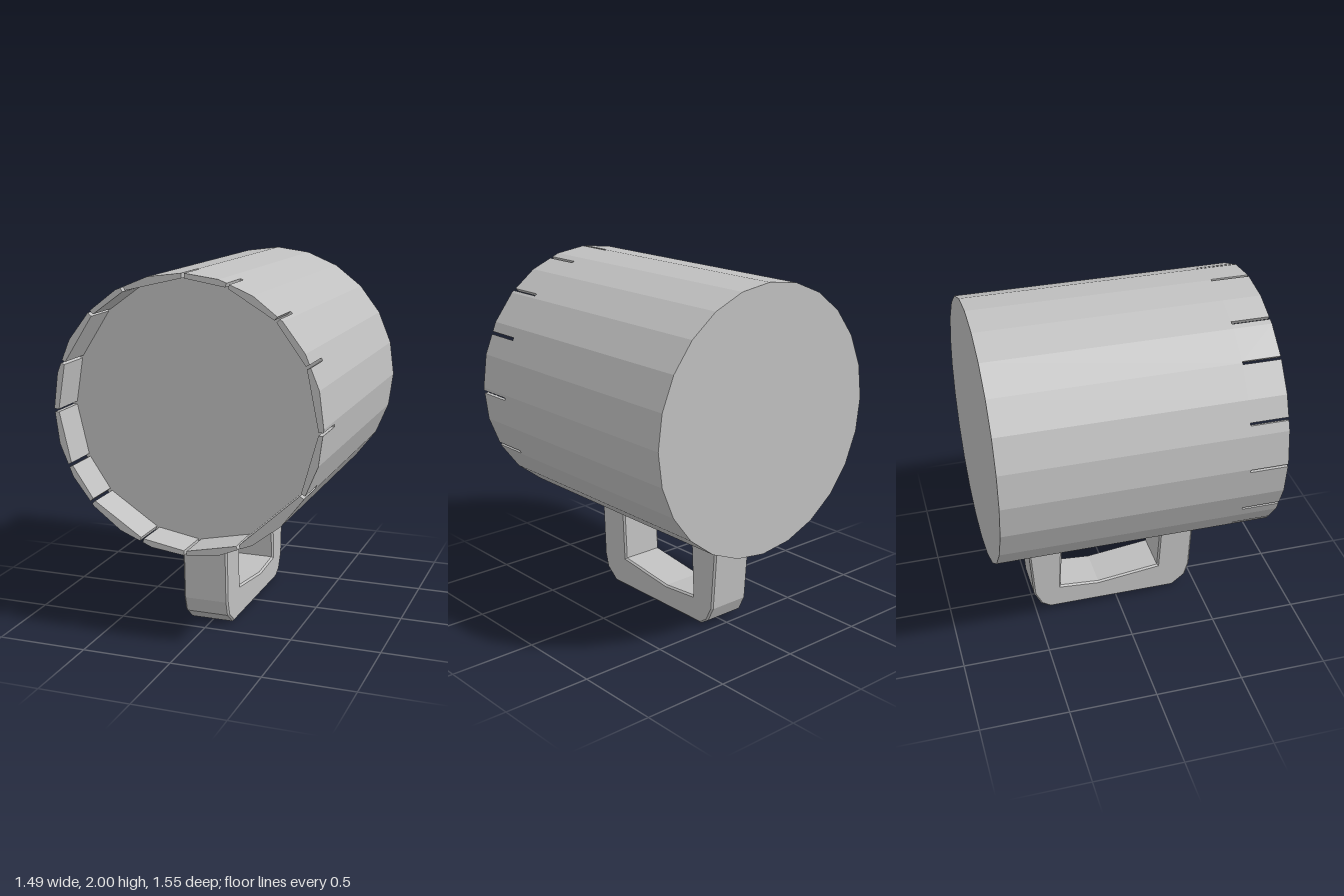
import * as THREE from 'three';

const R = 0.743, CY = 1.257, SIDES = 24;
const FRONT = 0.777, FLOOR = 0.565;

// Radius of the faceted body outline at an angle in radians
function outline(a) {
  const step = (2 * Math.PI) / SIDES;
  const off = a - (Math.floor(a / step) + 0.5) * step;
  return (R * Math.cos(step / 2)) / Math.cos(off);
}

// One rim block: faceted arc outside, straight chord inside
function rimBlock(a0, a1) {
  const step = (2 * Math.PI) / SIDES;
  const at = (r, a) => new THREE.Vector2(r * Math.cos(a), r * Math.sin(a));
  const pts = [at(outline(a0), a0)];
  for (let k = Math.ceil(a0 / step + 0.02); k * step < a1 - 0.005; k++) pts.push(at(R, k * step));
  pts.push(at(outline(a1), a1), at(0.716, a1), at(0.716, a0));
  const geo = new THREE.ExtrudeGeometry(new THREE.Shape(pts), { depth: FRONT - FLOOR, bevelEnabled: false });
  geo.translate(0, CY, FLOOR);
  return geo;
}

export function createModel() {
  const grey = new THREE.MeshStandardMaterial({ color: 0xc0c0c0, flatShading: true });
  grey.name = 'grey';
  const group = new THREE.Group();
  group.name = 'mug';
  const add = (name, geo) => {
    const mesh = new THREE.Mesh(geo, grey);
    mesh.name = name;
    group.add(mesh);
  };

  // Solid body lying along z
  const body = new THREE.CylinderGeometry(R, R, FLOOR + FRONT, SIDES);
  body.rotateX(Math.PI / 2);
  body.translate(0, CY, (FLOOR - FRONT) / 2);
  add('body', body);

  // Irregular rim blocks separated by narrow slits
  const joints = [-90, -66, -29, -2, 25, 47, 71, 90, 117, 135, 160, 181, 205, 223, 250, 270];
  const gap = 0.011;
  for (let i = 0; i < joints.length - 1; i++) {
    const a0 = THREE.MathUtils.degToRad(joints[i]) + gap;
    const a1 = THREE.MathUtils.degToRad(joints[i + 1]) - gap;
    add('rimBlock' + (i + 1), rimBlock(a0, a1));
  }

  // Handle below the body, profile as z, y pairs
  const profile = [
    [0.483, 0.56], [0.465, 0.15], [0.44, 0.065], [0.36, 0], [-0.41, 0], [-0.465, 0.035], [-0.507, 0.12],
    [-0.537, 0.56], [-0.323, 0.56], [-0.342, 0.15], [-0.11, 0.132], [0.26, 0.18], [0.28, 0.56],
  ].map(([z, y]) => new THREE.Vector2(z, y));
  const handle = new THREE.ExtrudeGeometry(new THREE.Shape(profile), {
    depth: 0.24, bevelEnabled: true, bevelSize: 0.01, bevelOffset: -0.01, bevelThickness: 0.01, bevelSegments: 1,
  });
  handle.rotateY(-Math.PI / 2);
  handle.translate(0.112, 0, 0);
  add('handle', handle);

  return group;
}
